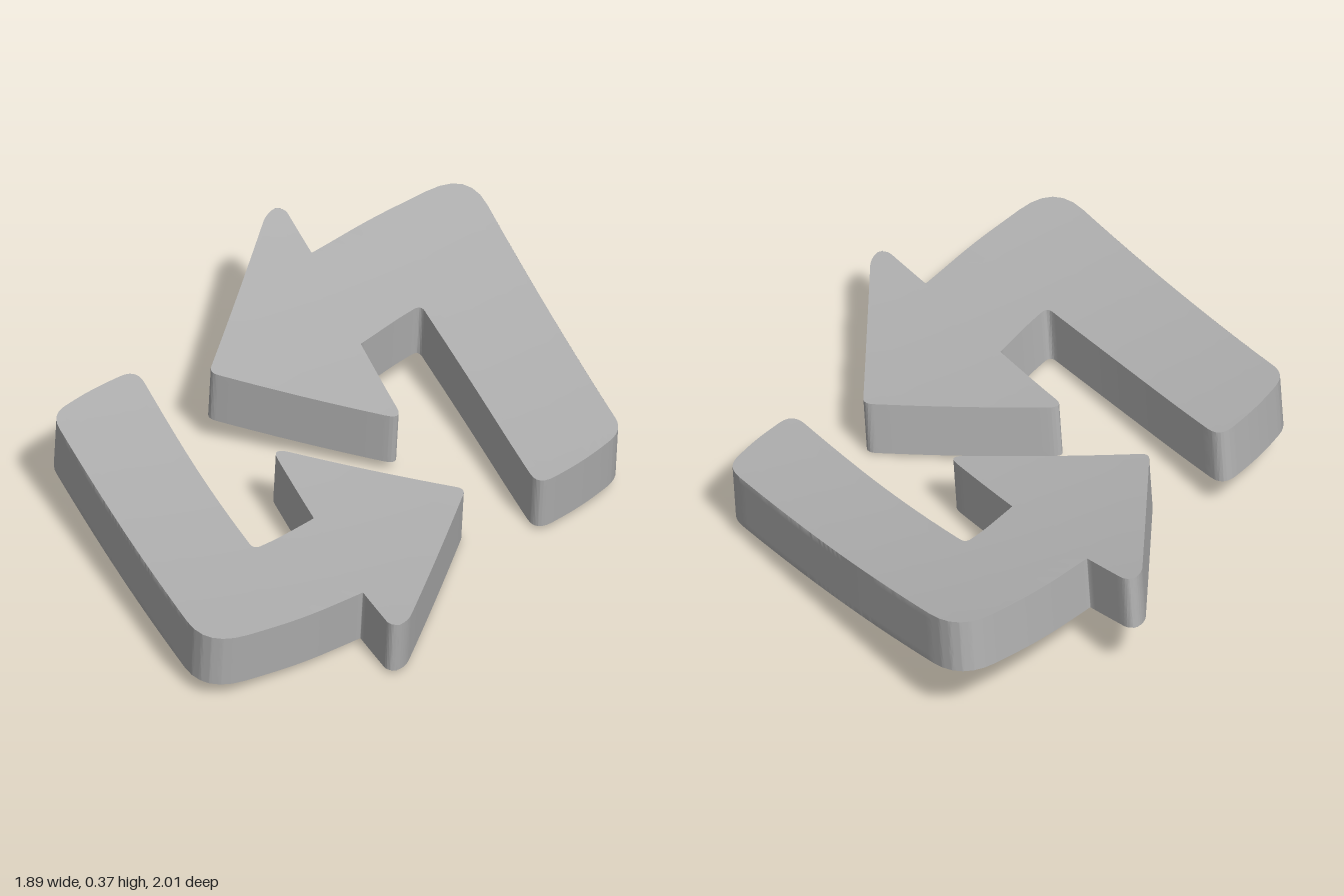
import * as THREE from 'three';
import { toCreasedNormals } from 'three/addons/utils/BufferGeometryUtils.js';

const THICKNESS = 0.178;
const LEAN = 0.016; // walls lean slightly toward the front

// Plan of one bent arrow: [x, z, corner radius]
const PLAN = [
  [-0.775, -0.43, 0.07], [-0.6, -0.495, 0.08], [-0.41, -0.535, 0.07],
  [-0.5, 0.05, 0.25], [-0.54, 0.42, 0.03], [-0.45, 0.4, 0.04], [-0.285, 0.35, 0.004],
  [-0.22, -0.03, 0.06], [0.21, 0.432, 0.03],
  [-0.31, 0.985, 0.03], [-0.35, 1.0, 0.02], [-0.38, 0.99, 0.03],
  [-0.357, 0.78, 0.004], [-0.6, 0.83, 0.1], [-0.965, 0.865, 0.16], [-0.87, 0.2, 0.3],
];

// Closed shape with rounded corners
function roundedShape(points) {
  const shape = new THREE.Shape();
  const n = points.length;
  points.forEach(([x, y, r], i) => {
    const p = new THREE.Vector2(x, y);
    const toward = (q) => p.clone().add(new THREE.Vector2(q[0], q[1]).sub(p).setLength(r));
    const a = toward(points[(i + n - 1) % n]);
    const b = toward(points[(i + 1) % n]);
    if (i === 0) shape.moveTo(a.x, a.y);
    else shape.lineTo(a.x, a.y);
    shape.quadraticCurveTo(x, y, b.x, b.y);
  });
  shape.closePath();
  return shape;
}

// Split every triangle into four so the slab can bend smoothly
function subdivide(array) {
  const out = [];
  for (let i = 0; i < array.length; i += 9) {
    const [a, b, c] = [0, 3, 6].map((k) => [array[i + k], array[i + k + 1], array[i + k + 2]]);
    const mid = (p, q) => p.map((v, k) => (v + q[k]) / 2);
    const ab = mid(a, b), bc = mid(b, c), ca = mid(c, a);
    for (const v of [a, ab, ca, ab, b, bc, ca, bc, c, ab, bc, ca]) out.push(...v);
  }
  return out;
}

// Shallow dish that rises toward the back and the sides
const dish = (x, z) => 0.0588 * (z - 0.75) ** 2 + 0.055 * x * x;

function arrowGeometry(sign) {
  const outline = PLAN.map(([x, z, r]) => [sign * x, -sign * z, r]);
  let slab = new THREE.ExtrudeGeometry(roundedShape(outline), {
    depth: 1, bevelEnabled: false, curveSegments: 6,
  });
  slab.rotateX(-Math.PI / 2);
  if (slab.index) slab = slab.toNonIndexed();

  let data = Array.from(slab.attributes.position.array);
  for (let level = 0; level < 3; level++) data = subdivide(data);
  for (let i = 0; i < data.length; i += 3) {
    const level = data[i + 1];
    data[i + 1] = dish(data[i], data[i + 2]) + level * THICKNESS;
    data[i + 2] += (level - 0.5) * LEAN;
  }
  const bent = new THREE.BufferGeometry();
  bent.setAttribute('position', new THREE.Float32BufferAttribute(data, 3));
  return toCreasedNormals(bent, 0.6);
}

export function createModel() {
  const group = new THREE.Group();
  group.name = 'cycleArrows';
  const grey = new THREE.MeshStandardMaterial({ color: 0xb0b0b0 });
  grey.name = 'grey';

  // Two arrows, each the other turned half way round
  for (const [name, sign] of [['rightArrow', 1], ['leftArrow', -1]]) {
    const arrow = new THREE.Mesh(arrowGeometry(sign), grey);
    arrow.name = name;
    group.add(arrow);
  }

  // Stand the lowest point on the ground
  const box = new THREE.Box3().setFromObject(group);
  for (const arrow of group.children) arrow.geometry.translate(0, -box.min.y, 0);
  return group;
}
